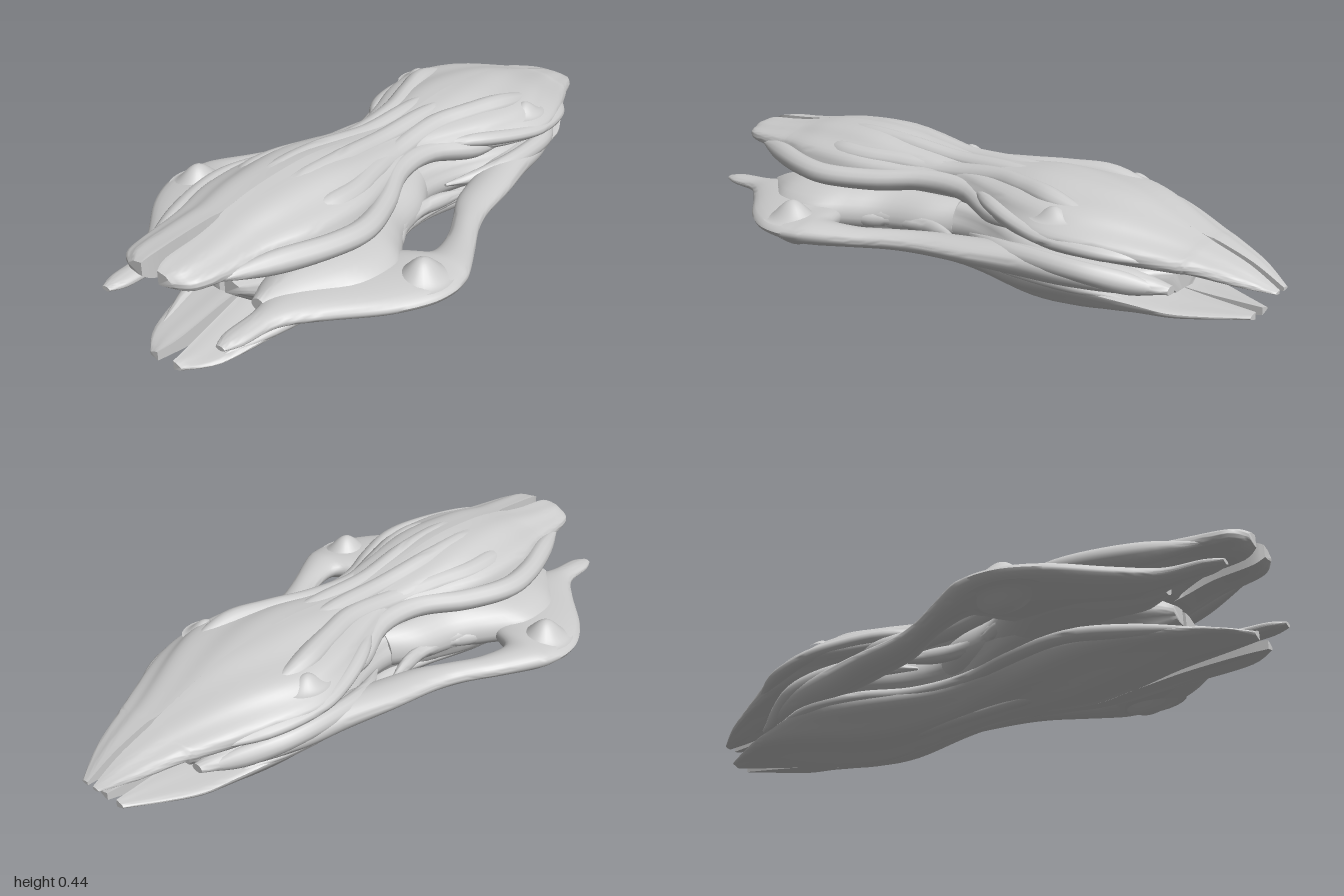
import * as THREE from 'three';
import { toCreasedNormals } from 'three/addons/utils/BufferGeometryUtils.js';

const material = new THREE.MeshStandardMaterial({ color: 0xcccccc });

// Smooth the list of cross-sections lengthwise
function refine(rows, steps = 5) {
  const out = [];
  for (let i = 0; i < rows.length - 1; i++) {
    const [a, b, c, d] = [-1, 0, 1, 2].map(k => rows[Math.min(Math.max(i + k, 0), rows.length - 1)]);
    for (let s = 0; s < steps; s++) {
      const t = s / steps;
      out.push(b.map((v, k) => {
        const cubic = 3 * (v - c[k]) + d[k] - a[k];
        const square = 2 * a[k] - 5 * v + 4 * c[k] - d[k];
        return v + 0.5 * t * (c[k] - a[k] + t * (square + t * cubic));
      }));
    }
  }
  out.push(rows[rows.length - 1]);
  return out;
}

// Skin sections [x, zInner, zOuter, yEdge, yTop, yBottom]; half = flat wall on the centre plane
function loft(rows, side, { half = false, sharp = 1, relief = 0, n = 28 } = {}) {
  const sections = refine(rows), pos = [], idx = [];
  for (const [x, z0, z1, yE, yT, yB] of sections) {
    for (let j = 0; j < n; j++) {
      const a = half ? -Math.PI / 2 + Math.PI * j / (n - 1) : 2 * Math.PI * j / n;
      const c = Math.cos(a), s = Math.sin(a);
      const cz = Math.sign(c) * Math.pow(Math.abs(c), sharp);
      // flowing grooves that wander along the hull
      const w = 1 + relief * Math.sin(9 * a + 2.5 * Math.sin(4 * x + 1)) * Math.abs(Math.sin(2 * a));
      const z = half ? z0 + (z1 - z0) * cz * w : (z0 + z1) / 2 + (z1 - z0) / 2 * cz * w;
      pos.push(x, yE + s * w * (s > 0 ? yT - yE : yE - yB), z * side);
    }
  }
  const tri = (a, b, c) => (side > 0 ? idx.push(a, b, c) : idx.push(a, c, b));
  const last = sections.length - 1;
  for (let i = 0; i < last; i++) {
    for (let j = 0; j < n; j++) {
      const k = (j + 1) % n, p = i * n, q = p + n;
      tri(p + j, q + j, q + k);
      tri(p + j, q + k, p + k);
    }
  }
  for (let j = 1; j < n - 1; j++) {
    tri(0, j, j + 1);
    tri(last * n, last * n + j + 1, last * n + j);
  }
  const g = new THREE.BufferGeometry();
  g.setAttribute('position', new THREE.Float32BufferAttribute(pos, 3));
  g.setIndex(idx);
  return toCreasedNormals(g, 0.8);
}

// Tapered sinew through points [x, y, z], with half width w and half height h
function sinew(points, side, w, h) {
  const rows = points.map(([x, y, z], i) => {
    const k = i === 0 || i === points.length - 1 ? 0.15 : 1;
    return [x, z - w * k, z + w * k, y, y + h * k, y - h * k];
  });
  return loft(rows, side, { n: 14, sharp: 1.3 });
}

// Bell-shaped swelling that flares softly into the surface below
const bell = new THREE.LatheGeometry(
  Array.from({ length: 13 }, (_, i) => new THREE.Vector2(1 - i / 12, 0.5 - 0.5 * Math.cos(Math.PI * i / 12))), 24);

const upperHull = [
  [-1, .03, .08, .345, .37, .33], [-.96, .02, .13, .34, .385, .31], [-.85, .018, .155, .335, .395, .30],
  [-.77, .01, .17, .33, .405, .275], [-.73, 0, .18, .33, .412, .26], [-.6, 0, .22, .32, .432, .24],
  [-.4, 0, .22, .32, .438, .24], [-.2, 0, .16, .33, .412, .24], [-.05, 0, .13, .33, .395, .24],
  [.1, 0, .18, .32, .40, .24], [.25, 0, .25, .30, .41, .23], [.4, 0, .288, .29, .40, .22],
  [.55, 0, .255, .28, .375, .215], [.74, 0, .17, .255, .31, .21], [.79, .008, .145, .25, .295, .21],
  [.9, .01, .095, .225, .255, .2], [.99, .012, .035, .2, .205, .195],
];
const core = [
  [-.76, .01, .07, .2, .22, .17], [-.65, 0, .2, .2, .28, .1], [-.5, 0, .26, .2, .3, .09],
  [-.36, 0, .27, .2, .3, .09], [-.2, 0, .215, .2, .3, .09], [-.05, 0, .15, .2, .3, .09],
  [.1, 0, .165, .2, .29, .09], [.3, 0, .25, .2, .28, .09], [.5, 0, .23, .19, .26, .1],
  [.63, 0, .15, .19, .24, .11], [.7, 0, .07, .18, .23, .12],
];
const lowerHull = [
  [-.98, .03, .06, .065, .08, .053], [-.9, .02, .13, .072, .09, .05], [-.74, .01, .175, .095, .125, .04],
  [-.6, 0, .2, .115, .15, .022], [-.45, 0, .21, .125, .17, .01], [-.2, 0, .16, .12, .17, .037],
  [0, 0, .15, .12, .17, .03], [.25, 0, .21, .13, .17, .004], [.45, 0, .22, .14, .18, .018],
  [.65, 0, .18, .125, .145, .058], [.76, .006, .145, .115, .135, .078], [.93, .02, .05, .12, .13, .108],
];
// Broad rear wing narrowing into a forward arm
const wing = [
  [-.98, .2, .23, .205, .212, .198], [-.93, .18, .25, .205, .222, .19], [-.82, .175, .265, .205, .23, .185],
  [-.72, .14, .34, .205, .24, .175], [-.6, .13, .45, .205, .245, .165], [-.5, .16, .51, .205, .245, .16],
  [-.42, .21, .528, .205, .24, .16], [-.36, .29, .522, .205, .24, .16], [-.31, .365, .505, .205, .238, .165],
  [-.2, .345, .445, .2, .23, .17], [-.1, .295, .39, .2, .23, .17], [0, .24, .355, .2, .23, .165],
  [.15, .2, .33, .2, .235, .16], [.3, .17, .295, .2, .24, .15], [.45, .14, .265, .19, .235, .145],
  [.6, .1, .205, .175, .22, .145], [.72, .09, .13, .165, .18, .155],
];
// Fillet sloping from the hull down onto the wing
const wingRoot = [
  [-.79, .14, .19, .21, .23, .19], [-.7, .1, .27, .21, .265, .165], [-.58, .08, .36, .21, .29, .145],
  [-.45, .08, .37, .21, .295, .14], [-.35, .08, .3, .205, .295, .14], [-.25, .06, .235, .2, .29, .14],
  [-.12, .05, .2, .2, .285, .145], [-.03, .05, .15, .2, .28, .15],
];
const sinews = {
  upperStrake: [[[-.9, .33, .13], [-.75, .325, .18], [-.58, .32, .24], [-.45, .315, .25], [-.3, .315, .2],
    [-.15, .325, .13], [0, .32, .12], [.15, .295, .18], [.3, .285, .22]], .038, .034],
  shoulderStrake: [[[-.62, .355, .13], [-.5, .365, .15], [-.38, .365, .15], [-.25, .36, .115], [-.1, .35, .08],
    [.08, .365, .08], [.22, .37, .12], [.36, .365, .16], [.52, .34, .17]], .04, .034],
  spineStrake: [[[-.7, .39, .03], [-.5, .408, .045], [-.3, .403, .045], [-.1, .38, .03], [.1, .38, .03],
    [.3, .39, .04]], .035, .028],
  browStrake: [[[.02, .335, .11], [.15, .325, .19], [.3, .305, .25], [.42, .29, .265], [.58, .275, .23],
    [.72, .255, .16]], .03, .022],
  openingStrut: [[[-.4, .2, .29], [-.3, .2, .245], [-.22, .2, .205], [-.12, .2, .19], [-.03, .2, .205],
    [.08, .2, .24]], .02, .025],
  cheekStrake: [[[.05, .2, .16], [.2, .21, .235], [.35, .215, .25], [.5, .205, .23], [.62, .18, .17],
    [.72, .165, .12]], .03, .032],
  lowerStrake: [[[-.9, .075, .11], [-.7, .105, .165], [-.5, .13, .205], [-.3, .135, .18], [-.1, .13, .13],
    [.08, .13, .14], [.25, .14, .19], [.45, .145, .2], [.65, .125, .16]], .03, .022],
  keelStrake: [[[-.7, .06, .04], [-.5, .05, .045], [-.3, .062, .045], [-.05, .06, .04], [.15, .05, .045],
    [.35, .047, .05], [.55, .065, .045]], .025, .02],
};
// Swellings: x, y, z of the base, radius along x, height (negative hangs down), radius along z
const swellings = {
  wingNodule: [-.43, .222, .43, .1, .058, .085],
  wingUnderNodule: [-.43, .178, .42, .13, -.042, .09],
  browNodule: [.4, .335, .215, .075, .035, .06],
};

export function createModel() {
  const model = new THREE.Group();
  const add = (parent, name, geometry) => {
    const mesh = new THREE.Mesh(geometry, material);
    mesh.name = name;
    parent.add(mesh);
    return mesh;
  };
  for (const side of [1, -1]) {
    const half = new THREE.Group();
    half.name = side > 0 ? 'frontHalf' : 'backHalf';
    model.add(half);

    // Layered body
    add(half, 'upperHull', loft(upperHull, side, { half: true, sharp: 1.2, relief: .035, n: 40 }));
    add(half, 'core', loft(core, side, { half: true, relief: .04 }));
    add(half, 'lowerHull', loft(lowerHull, side, { half: true, sharp: 2, relief: .04 }));
    add(half, 'wing', loft(wing, side, { sharp: 1.1 }));
    add(half, 'wingRoot', loft(wingRoot, side, { sharp: 1.4 }));

    // Raised sinews and swellings
    for (const [name, [points, w, h]] of Object.entries(sinews)) add(half, name, sinew(points, side, w, h));
    for (const [name, [x, y, z, rx, h, rz]] of Object.entries(swellings)) {
      const mesh = add(half, name, bell);
      mesh.position.set(x, y, z * side);
      mesh.scale.set(rx, Math.abs(h), rz);
      mesh.rotation.x = h < 0 ? Math.PI : 0;
    }
  }
  return model;
}
